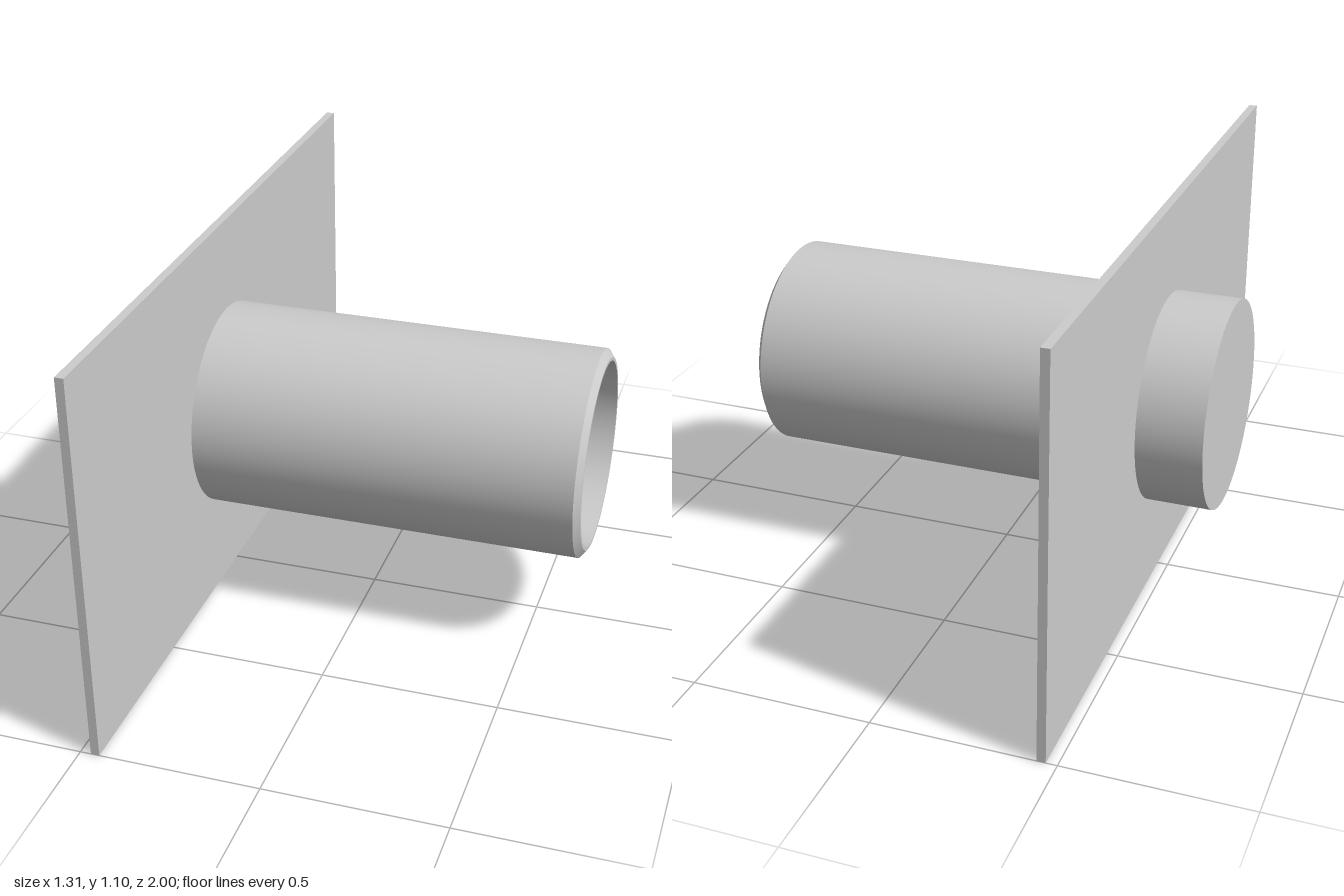
import * as THREE from 'three';
import { toCreasedNormals } from 'three/addons/utils/BufferGeometryUtils.js';

export function createModel() {
  const group = new THREE.Group();
  const material = new THREE.MeshStandardMaterial({ color: 0xcccccc });
  const axisY = 0.545, outer = 0.295, inner = 0.262;

  // Rectangular mounting plate, with a hole where the tube passes through
  const width = 2, height = 1.104, thickness = 0.024;
  const outline = new THREE.Shape([
    new THREE.Vector2(-width / 2, 0), new THREE.Vector2(width / 2, 0),
    new THREE.Vector2(width / 2, height), new THREE.Vector2(-width / 2, height),
  ]);
  const hole = new THREE.Path();
  hole.absarc(0, axisY, outer - 0.005, 0, Math.PI * 2, true);
  outline.holes.push(hole);
  const plateGeometry = new THREE.ExtrudeGeometry(outline, {
    depth: thickness, bevelEnabled: false, curveSegments: 48,
  });
  const plate = new THREE.Mesh(plateGeometry, material);
  plate.name = 'mountingPlate';
  plate.rotation.y = Math.PI / 2;
  plate.position.x = -0.47;
  group.add(plate);

  // Tube closed at one end, with a chamfered rim at the open end
  const profile = [
    [0, -0.655], [outer, -0.655], [outer, 0.638], [0.272, 0.655],
    [inner, 0.655], [inner, -0.622], [0, -0.622],
  ].map(([r, y]) => new THREE.Vector2(r, y));
  const tube = new THREE.Mesh(
    toCreasedNormals(new THREE.LatheGeometry(profile, 96), Math.PI / 6), material);
  tube.name = 'tube';
  tube.rotation.z = -Math.PI / 2;
  tube.position.y = axisY;
  group.add(tube);

  return group;
}
